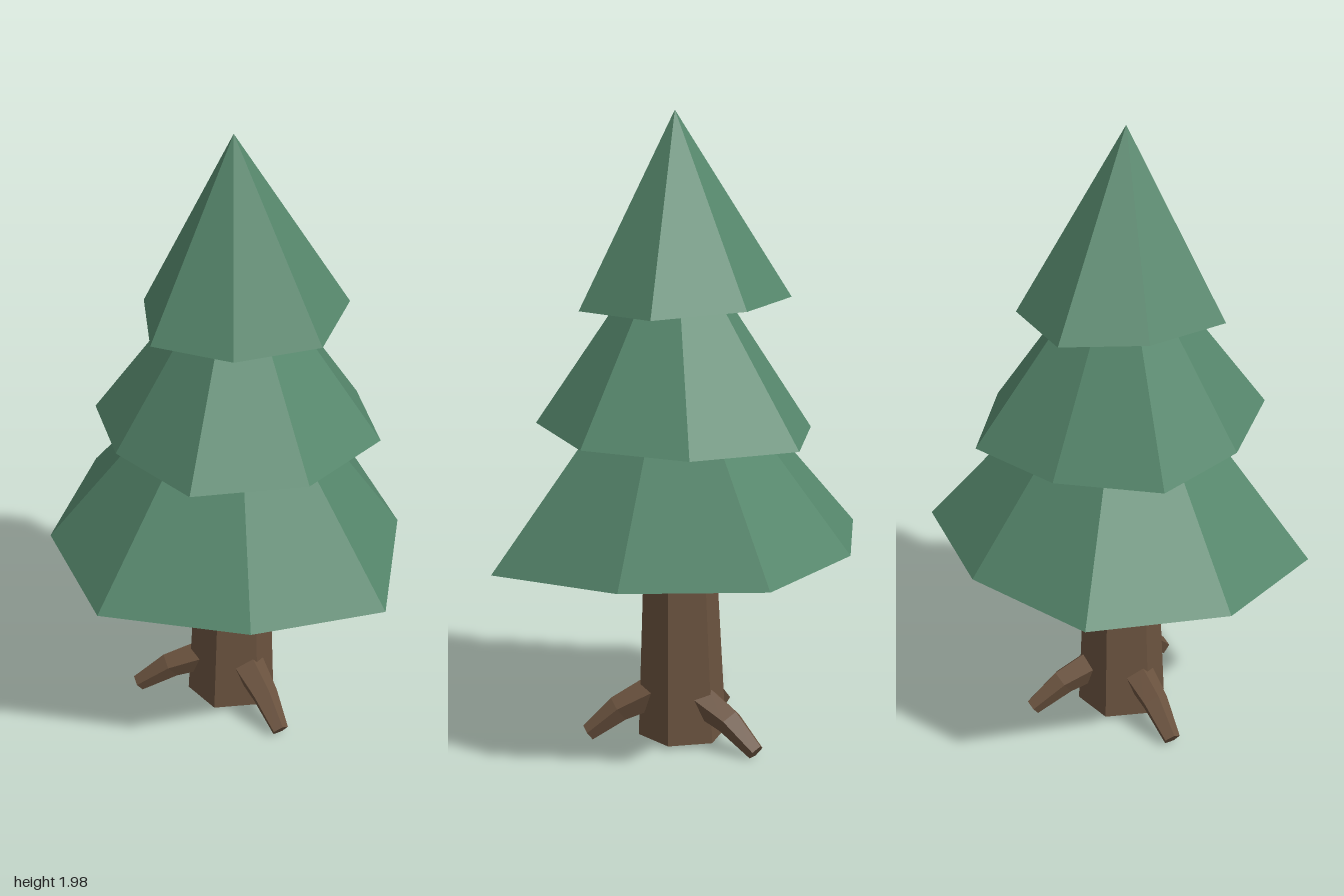
import * as THREE from 'three';

// Solid through rings of points; a one-point ring closes to a tip
function loft(rings) {
  const out = [];
  const tri = (...pts) => pts.forEach((p) => out.push(p.x, p.y, p.z));
  for (let r = 0; r < rings.length - 1; r++) {
    const lo = rings[r], hi = rings[r + 1], n = lo.length;
    for (let i = 0; i < n; i++) {
      const j = (i + 1) % n;
      if (hi.length === 1) tri(lo[j], lo[i], hi[0]);
      else {
        tri(lo[j], lo[i], hi[i]);
        tri(lo[j], hi[i], hi[j]);
      }
    }
  }
  const base = rings[0], top = rings[rings.length - 1];
  for (let i = 1; i < base.length - 1; i++) tri(base[0], base[i], base[i + 1]);
  for (let i = 1; i < top.length - 1; i++) tri(top[0], top[i + 1], top[i]);
  const geo = new THREE.BufferGeometry();
  geo.setAttribute('position', new THREE.Float32BufferAttribute(out, 3));
  geo.computeVertexNormals();
  return geo;
}

// Regular ring of n points spanned by u and v
function ring(center, u, v, radius, n, turn = 0) {
  return Array.from({ length: n }, (_, i) => {
    const a = turn + (i / n) * Math.PI * 2;
    return center.clone().addScaledVector(u, Math.cos(a) * radius).addScaledVector(v, Math.sin(a) * radius);
  });
}

const vec = (x, y, z) => new THREE.Vector3(x, y, z);

export function createModel() {
  const tree = new THREE.Group();
  tree.name = 'pineTree';
  const needles = new THREE.MeshStandardMaterial({ color: 0x55866b, flatShading: true });
  needles.name = 'needleGreen';
  const bark = new THREE.MeshStandardMaterial({ color: 0x6b533f, flatShading: true });
  bark.name = 'barkBrown';

  const add = (name, geo, mat) => {
    const mesh = new THREE.Mesh(geo, mat);
    mesh.name = name;
    tree.add(mesh);
  };

  // Foliage tiers: uneven outline [x, z] on a slightly tilted base plane
  const tiers = [
    { name: 'lowerFoliage', y: 0.645, tilt: [-0.045, -0.03], apex: vec(0.015, 1.39, 0.005),
      outline: [[-0.15, -0.595], [0.27, -0.45], [0.6, -0.112], [0.44, 0.278],
        [0.09, 0.59], [-0.334, 0.48], [-0.603, 0.122], [-0.473, -0.3]] },
    { name: 'middleFoliage', y: 1.038, tilt: [0.025, 0.024], apex: vec(0.01, 1.68, 0),
      outline: [[0.056, -0.445], [0.35, -0.29], [0.434, 0.058], [0.272, 0.374],
        [-0.07, 0.397], [-0.36, 0.274], [-0.408, -0.058], [-0.292, -0.361]] },
    { name: 'upperFoliage', y: 1.425, tilt: [-0.032, -0.005], apex: vec(0.008, 2, 0.01),
      outline: [[-0.15, -0.28], [0.147, -0.326], [0.318, -0.077], [0.234, 0.184],
        [0.018, 0.323], [-0.224, 0.174], [-0.34, -0.064]] },
  ];
  for (const { name, y, tilt, apex, outline } of tiers) {
    const base = outline.map(([x, z]) => vec(x, y + tilt[0] * x + tilt[1] * z, z));
    add(name, loft([base, [apex]]), needles);
  }

  // Six-sided tapering trunk
  const X = vec(1, 0, 0), Z = vec(0, 0, 1);
  add('trunk', loft([
    ring(vec(-0.015, 0.03, 0.005), X, Z, 0.142, 6),
    ring(vec(-0.005, 0.7, 0), X, Z, 0.112, 6),
  ]), bark);

  // Three bent roots reaching out and down, given by their tips [x, z]
  [[0.285, 0.035], [-0.2, 0.25], [-0.2, -0.235]].forEach(([x, z], i) => {
    const reach = Math.hypot(x, z);
    const out = vec(x / reach, 0, z / reach);
    const dir = out.clone().setY(-0.7).normalize();
    const side = vec(-out.z, 0, out.x);
    const up = side.clone().cross(dir);
    const sections = [[0.08, 0.168, 0.056], [reach * 0.66, 0.115, 0.044], [reach, 0.037, 0.028]];
    add('root' + (i + 1), loft(sections.map(([d, y, r]) =>
      ring(out.clone().multiplyScalar(d).setY(y), side, up, r, 5, Math.PI / 2))), bark);
  });

  return tree;
}
